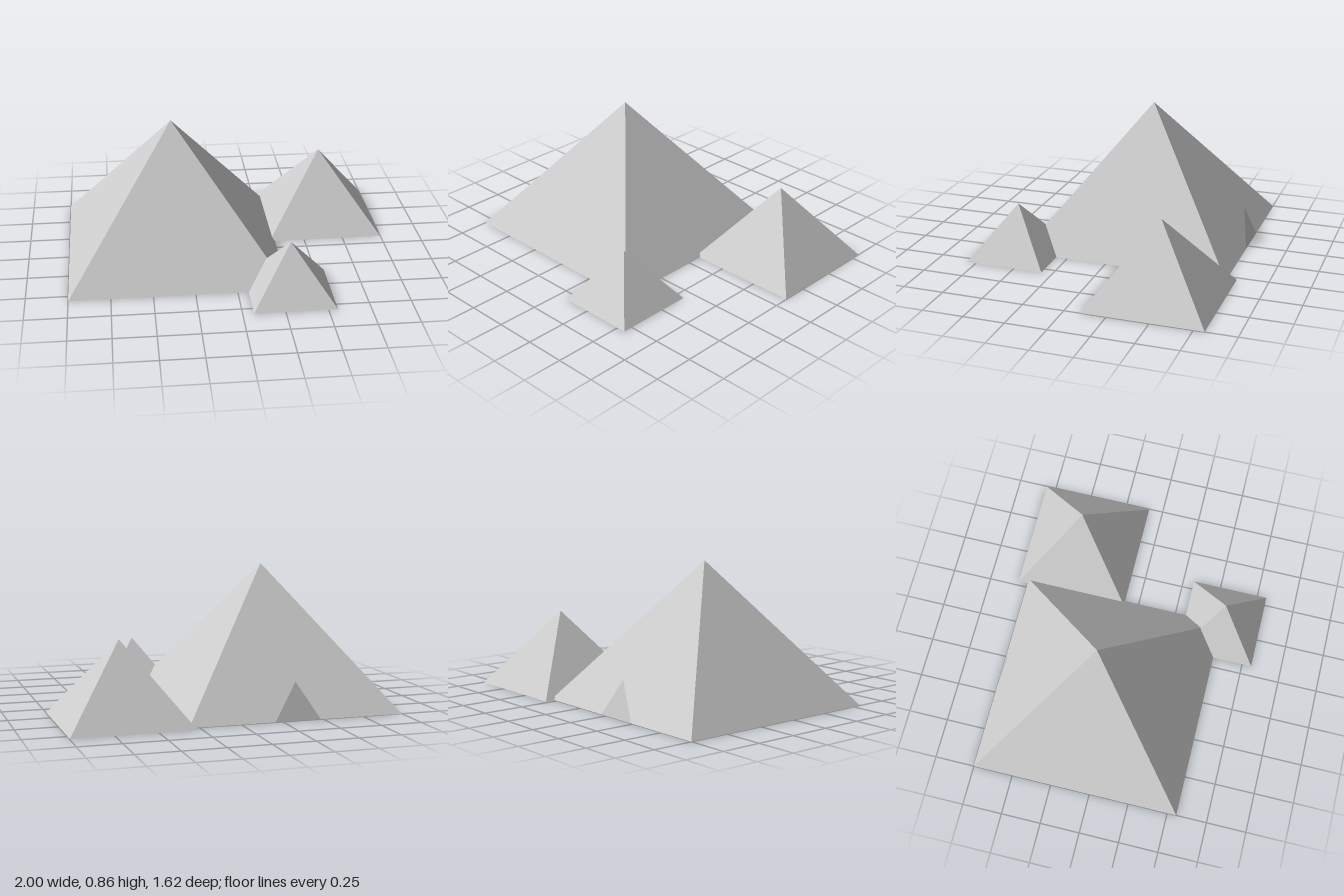
import * as THREE from 'three';

export function createModel() {
  const group = new THREE.Group();
  const stone = new THREE.MeshStandardMaterial({
    color: 0xcccccc, flatShading: true, side: THREE.DoubleSide,
  });
  stone.name = 'pale grey stone';

  // Open-bottomed square pyramid standing on the ground
  function addPyramid(name, x, z, half, height) {
    const geometry = new THREE.ConeGeometry(half * Math.SQRT2, height, 4, 1, true, Math.PI / 4);
    const mesh = new THREE.Mesh(geometry, stone);
    mesh.name = name;
    mesh.position.set(x, height / 2, z);
    group.add(mesh);
  }
  addPyramid('largePyramid', -0.345, -0.097, 0.655, 0.855);
  addPyramid('mediumPyramid', 0.638, -0.453, 0.36, 0.475);
  addPyramid('smallPyramid', 0.31, 0.565, 0.245, 0.325);

  // Thin triangular entrance slab leaning towards the back of the large pyramid
  const rise = 0.22, lean = 0.052;
  const triangle = new THREE.Shape();
  triangle.moveTo(-0.14, 0);
  triangle.lineTo(0.14, 0);
  triangle.lineTo(0, Math.hypot(rise, lean));
  const entrance = new THREE.Mesh(new THREE.ShapeGeometry(triangle), stone);
  entrance.name = 'entranceSlab';
  entrance.rotation.order = 'YXZ';
  entrance.rotation.set(-Math.atan2(lean, rise), Math.PI, 0);
  entrance.position.set(-0.345, 0, -0.753);
  group.add(entrance);

  return group;
}
